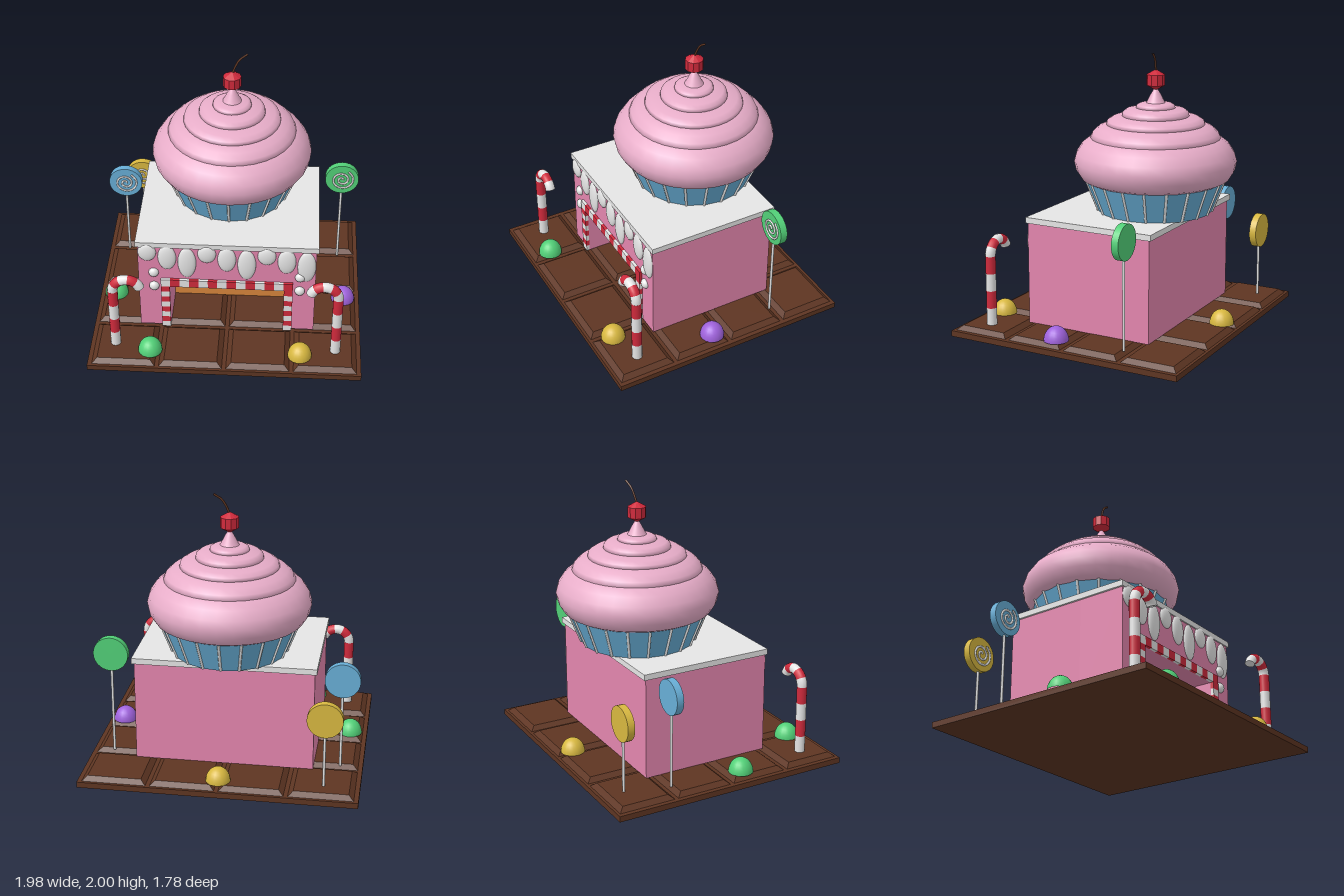
import * as THREE from 'three';

const mat = (name, color, extra = {}) => {
  const m = new THREE.MeshStandardMaterial({ color, ...extra });
  m.name = name;
  return m;
};

export function createModel() {
  const model = new THREE.Group();
  const white = mat('icing white', 0xe6e6e6);
  const pink = mat('wall pink', 0xe486ae);
  const frosting = mat('frosting pink', 0xeaafcb, { side: THREE.DoubleSide });
  const green = mat('candy green', 0x52d078);
  const blue = mat('candy blue', 0x68aed6);
  const yellow = mat('candy yellow', 0xd8b840);
  const red = mat('candy red', 0xd02a3c);
  const purple = mat('candy purple', 0x9f62dc);
  const orange = mat('caramel orange', 0xd8863c);
  const chocolate = mat('chocolate brown', 0x5e3522);

  const add = (name, geo, material, x = 0, y = 0, z = 0, parent = model) => {
    const mesh = new THREE.Mesh(geo, material);
    mesh.name = name;
    mesh.position.set(x, y, z);
    parent.add(mesh);
    return mesh;
  };
  const group = (name, x = 0, y = 0, z = 0) => {
    const g = new THREE.Group();
    g.name = name;
    g.position.set(x, y, z);
    model.add(g);
    return g;
  };
  const box = (w, h, d) => new THREE.BoxGeometry(w, h, d);

  // Chocolate bar base: slab with 4 x 4 bevelled tiles
  const base = group('chocolateBase');
  add('slab', box(1.975, 0.042, 1.785), chocolate, 0, 0.021, 0, base);
  const tile = box(0.455, 0.03, 0.415);
  const tp = tile.attributes.position;
  for (let i = 0; i < tp.count; i++) {
    if (tp.getY(i) < 0) continue;
    tp.setX(i, tp.getX(i) - Math.sign(tp.getX(i)) * 0.036);
    tp.setZ(i, tp.getZ(i) - Math.sign(tp.getZ(i)) * 0.036);
  }
  tile.computeVertexNormals();
  for (let c = 0; c < 4; c++) for (let r = 0; r < 4; r++) {
    add('tile', tile, chocolate, (c - 1.5) * 0.485, 0.057, (r - 1.5) * 0.443, base);
  }

  // House: front block with the doorway cut in, solid block behind
  const house = group('house');
  const front = new THREE.Shape([
    [-0.64, 0.07], [-0.415, 0.07], [-0.415, 0.458], [0.415, 0.458],
    [0.415, 0.07], [0.64, 0.07], [0.64, 0.812], [-0.64, 0.812],
  ].map(([x, y]) => new THREE.Vector2(x, y)));
  add('frontWalls', new THREE.ExtrudeGeometry(front, { depth: 0.355, bevelEnabled: false }), pink, 0, 0, 0.1, house);
  add('backWalls', box(1.28, 0.742, 0.607), pink, 0, 0.441, -0.2035, house);
  add('doorPanel', box(0.83, 0.388, 0.008), orange, 0, 0.264, 0.104, house);
  add('roof', box(1.31, 0.042, 0.99), white, 0, 0.831, -0.03, house);

  // Striped door frame
  const frame = group('doorFrame');
  for (let i = 0; i < 14; i++) {
    add('lintelStripe', box(0.0683, 0.064, 0.024), i % 2 ? red : white, -0.4782 + 0.0683 * (i + 0.5), 0.49, 0.465, frame);
  }
  for (const s of [-1, 1]) for (let i = 0; i < 8; i++) {
    add('postStripe', box(0.064, 0.0485, 0.024), i % 2 ? white : red, s * 0.446, 0.458 - 0.0485 * (i + 0.5), 0.465, frame);
  }

  // Icing drips and dots on the facade
  const ball = new THREE.SphereGeometry(1, 20, 14);
  const drips = [[0.76, 0.077], [0.717, 0.109], [0.675, 0.135]];
  for (let i = 0; i < 9; i++) {
    const [y, ry] = drips[i % 3];
    add('icingDrip', ball, white, -0.572 + i * 0.143, y, 0.455, house).scale.set(0.066, ry, 0.026);
  }
  for (const s of [-1, 1]) for (const y of [0.577, 0.45]) {
    add('icingDot', ball, white, s * 0.528, y, 0.458, house).scale.set(0.037, 0.037, 0.03);
  }

  // Cupcake wrapper with ribs
  const cake = group('cupcake', 0, 0, -0.225);
  const wrapper = new THREE.CylinderGeometry(0.5, 0.41, 0.23, 20).toNonIndexed();
  wrapper.computeVertexNormals();
  add('wrapper', wrapper, blue, 0, 0.965, 0, cake);
  for (let i = 0; i < 20; i++) {
    const a = (i / 20) * Math.PI * 2, s = Math.sin(a), c = Math.cos(a);
    const rib = new THREE.LineCurve3(
      new THREE.Vector3(0.41 * s, 0.85, 0.41 * c), new THREE.Vector3(0.5 * s, 1.08, 0.5 * c));
    add('wrapperRib', new THREE.TubeGeometry(rib, 1, 0.01, 6), white, 0, 0, 0, cake);
  }

  // Frosting: one lathe for each swirl tier
  const tiers = [
    [[0.3, 1.058], [0.47, 1.06], [0.53, 1.09], [0.568, 1.15], [0.582, 1.215], [0.565, 1.275], [0.525, 1.335], [0.465, 1.382], [0.4, 1.4]],
    [[0.44, 1.37], [0.465, 1.382], [0.45, 1.415], [0.41, 1.452], [0.35, 1.476], [0.3, 1.485]],
    [[0.33, 1.465], [0.352, 1.476], [0.345, 1.5], [0.31, 1.522], [0.24, 1.535], [0.2, 1.54]],
    [[0.22, 1.525], [0.24, 1.535], [0.235, 1.56], [0.21, 1.58], [0.14, 1.592], [0.1, 1.595]],
    [[0.12, 1.58], [0.14, 1.592], [0.135, 1.61], [0.115, 1.622], [0.07, 1.628], [0, 1.63]],
    [[0.072, 1.62], [0.055, 1.65], [0.035, 1.69], [0.014, 1.725], [0, 1.74]],
  ];
  for (const t of tiers) {
    const profile = t.map(([r, y]) => new THREE.Vector2(r, y));
    add('frostingTier', new THREE.LatheGeometry(profile, 32), frosting, 0, 0, 0, cake);
  }

  // Faceted cherry with a bent stem
  const cherry = new THREE.SphereGeometry(0.076, 10, 3).toNonIndexed();
  cherry.computeVertexNormals();
  add('cherry', cherry, red, 0, 1.79, 0, cake);
  const stem = new THREE.CatmullRomCurve3([[0, 1.85, 0], [0.022, 1.905, -0.008], [0.05, 1.953, -0.016], [0.108, 1.994, -0.028]]
    .map((p) => new THREE.Vector3(...p)));
  add('cherryStem', new THREE.TubeGeometry(stem, 6, 0.008, 6), chocolate, 0, 0, 0, cake);

  // Candy canes: four shaft bands, five hook bands
  for (const s of [-1, 1]) {
    const cane = group(s < 0 ? 'rightCandyCane' : 'leftCandyCane', s * 0.7, 0, 0.67);
    if (s < 0) cane.rotation.y = Math.PI;
    const shaft = new THREE.CylinderGeometry(0.037, 0.037, 0.127, 14);
    for (let i = 0; i < 4; i++) {
      add('shaftBand', shaft, i % 2 ? red : white, 0.1, 0.07 + 0.127 * (i + 0.5), 0, cane);
    }
    const step = THREE.MathUtils.degToRad(32);
    for (let i = 0; i < 5; i++) {
      const band = add('hookBand', new THREE.TorusGeometry(0.1, 0.037, 12, 4, step), i % 2 ? red : white, 0, 0.578, 0, cane);
      band.rotation.z = i * step;
    }
    const end = 5 * step;
    const cap = add('hookEnd', new THREE.CircleGeometry(0.037, 12), white, 0.1 * Math.cos(end), 0.578 + 0.1 * Math.sin(end), 0, cane);
    cap.lookAt(cane.localToWorld(new THREE.Vector3(
      cap.position.x - Math.sin(end), cap.position.y + Math.cos(end), 0)));
  }

  // Gumdrops
  const dome = new THREE.SphereGeometry(0.088, 18, 8, 0, Math.PI * 2, 0, Math.PI / 2);
  const gumdrops = [[green, -0.863, 0.125], [purple, 0.862, 0.095], [green, -0.542, 0.73], [yellow, 0.543, 0.73], [yellow, 0, -0.765]];
  for (const [m, x, z] of gumdrops) add('gumdrop', dome, m, x, 0.07, z).scale.y = 1.18;

  // Lollipops with a raised spiral on the front
  const spiral = [];
  for (let i = 0; i <= 20; i++) {
    const a = i * 0.68, r = 0.008 + i * 0.0041;
    spiral.push(new THREE.Vector3(r * Math.cos(a), r * Math.sin(a), 0));
  }
  const swirl = new THREE.TubeGeometry(new THREE.CatmullRomCurve3(spiral), 60, 0.008, 6);
  for (const [m, x, y, z] of [[green, 0.825, 0.835, -0.415], [blue, -0.828, 0.738, -0.415], [yellow, -0.736, 0.578, -0.733]]) {
    const pop = group('lollipop', x, 0, z);
    add('candyDisc', new THREE.CylinderGeometry(0.126, 0.126, 0.052, 28), m, 0, y, 0, pop).rotation.x = Math.PI / 2;
    add('candySwirl', swirl, white, 0, y, 0.028, pop);
    add('stick', new THREE.CylinderGeometry(0.01, 0.01, y - 0.15, 8), white, 0, (y - 0.01) / 2, 0, pop);
  }
  return model;
}
